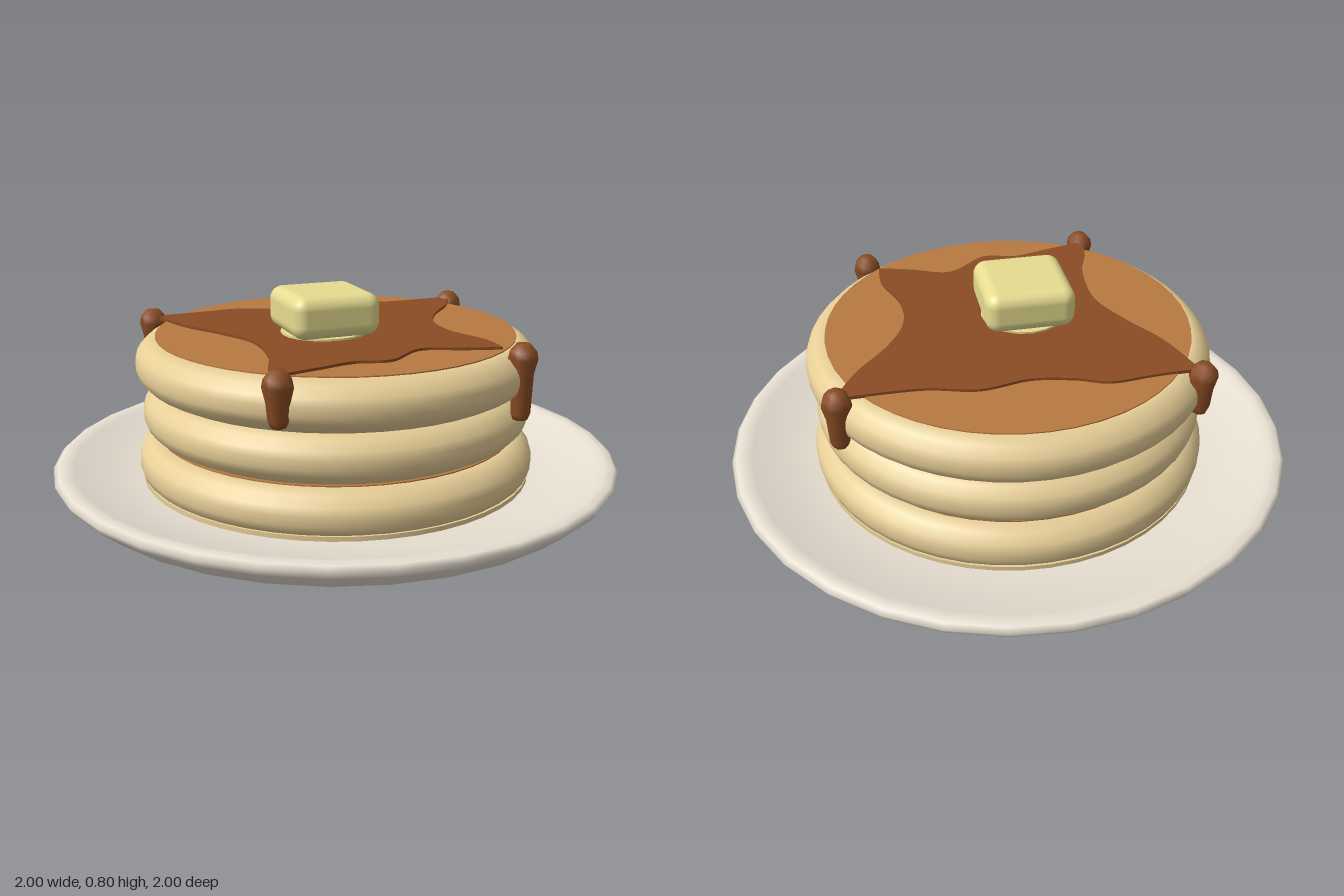
import * as THREE from 'three';
import { RoundedBoxGeometry } from 'three/addons/geometries/RoundedBoxGeometry.js';

const paint = (name, color) => {
  const m = new THREE.MeshStandardMaterial({ color });
  m.name = name;
  return m;
};

export function createModel() {
  const group = new THREE.Group();
  const china = paint('china', 0xe8e0d2);
  const batter = paint('batter', 0xe8cf98);
  const crust = paint('brownedCrust', 0xb87a42);
  const syrup = paint('syrup', 0x8a4c24);
  const butter = paint('butter', 0xe6dc90);

  const add = (name, geometry, material, x = 0, y = 0, z = 0) => {
    const mesh = new THREE.Mesh(geometry, material);
    mesh.name = name;
    mesh.position.set(x, y, z);
    group.add(mesh);
    return mesh;
  };
  const lathe = (points, segments) =>
    new THREE.LatheGeometry(points.map(([r, y]) => new THREE.Vector2(r, y)), segments);

  // Plate: flat foot and flared wall below, rolled rim, shallow dish above
  add('plateUnderside', lathe([[0, 0], [0.72, 0]], 32), china);
  add('plate', lathe([
    [0.72, 0], [0.92, 0.1], [0.985, 0.155], [1, 0.18], [0.985, 0.195], [0.955, 0.198],
    [0.93, 0.19], [0.82, 0.155], [0.7, 0.135], [0.5, 0.125], [0, 0.125],
  ], 32), china);

  // Golden pool at the foot of the stack
  add('stackBase', new THREE.CylinderGeometry(0.69, 0.69, 0.03, 48), batter, 0, 0.135, 0);

  // Pancakes: bulging sides with a browned disc on top and underneath
  const stack = [['bottom', 0.7, 0.115], ['middle', 0.68, 0.288], ['top', 0.7, 0.461]];
  for (const [name, r, y] of stack) {
    add(name + 'Pancake', lathe([
      [0, 0], [r - 0.07, 0], [r - 0.035, 0.018], [r - 0.008, 0.045], [r, 0.07],
      [r, 0.1], [r - 0.008, 0.126], [r - 0.035, 0.154], [r - 0.07, 0.173], [0, 0.173],
    ], 48), batter, 0, y, 0);
    add(name + 'PancakeCrust', new THREE.CylinderGeometry(r - 0.07, r - 0.07, 0.008, 48),
      crust, 0, y + 0.173, 0);
  }

  // Syrup sheet: four pulled-out corners joined by wavy concave edges (x, z)
  const outline = [
    [-0.55, -0.41], [-0.4, -0.415], [-0.25, -0.425], [-0.14, -0.385], [0, -0.36], [0.17, -0.385],
    [0.35, -0.345], [0.62, -0.345], [0.54, -0.21], [0.43, -0.08], [0.36, 0.05], [0.35, 0.2],
    [0.4, 0.36], [0.4, 0.475], [0.28, 0.44], [0.14, 0.395], [0, 0.49], [-0.12, 0.47],
    [-0.25, 0.5], [-0.38, 0.53], [-0.395, 0.46], [-0.345, 0.3], [-0.335, 0.1], [-0.4, -0.06],
    [-0.49, -0.22],
  ];
  const corners = [0, 7, 13, 19, outline.length];
  const sheet = new THREE.Shape();
  sheet.moveTo(outline[0][0], -outline[0][1]);
  for (let i = 0; i < 4; i++) {
    const side = [];
    for (let j = corners[i] + 1; j <= corners[i + 1]; j++) {
      const [x, z] = outline[j % outline.length];
      side.push(new THREE.Vector2(x, -z));
    }
    sheet.splineThru(side);
  }
  const sheetGeometry = new THREE.ExtrudeGeometry(sheet, { depth: 0.012, bevelEnabled: false, curveSegments: 20 });
  sheetGeometry.rotateX(-Math.PI / 2);
  add('syrupSheet', sheetGeometry, syrup, 0, 0.635, 0);

  // Syrup drips running over the edge: x, z, bottom height
  const drips = [[-0.4, 0.565, 0.49], [0.44, 0.535, 0.41], [0.615, -0.34, 0.455], [-0.56, -0.42, 0.48]];
  for (const [x, z, low] of drips) {
    add('syrupDrip', lathe([
      [0, low], [0.024, low + 0.004], [0.033, low + 0.025], [0.038, 0.57],
      [0.05, 0.62], [0.045, 0.645], [0.025, 0.668], [0, 0.67],
    ], 7), syrup, x, 0, z);
  }

  // Butter pat on a small melted puddle
  add('meltedButter', new THREE.CylinderGeometry(0.15, 0.15, 0.008, 20), butter, -0.065, 0.65, 0.055);
  add('butterPat', new RoundedBoxGeometry(0.31, 0.145, 0.31, 4, 0.045), butter, -0.065, 0.724, 0.055);

  return group;
}
